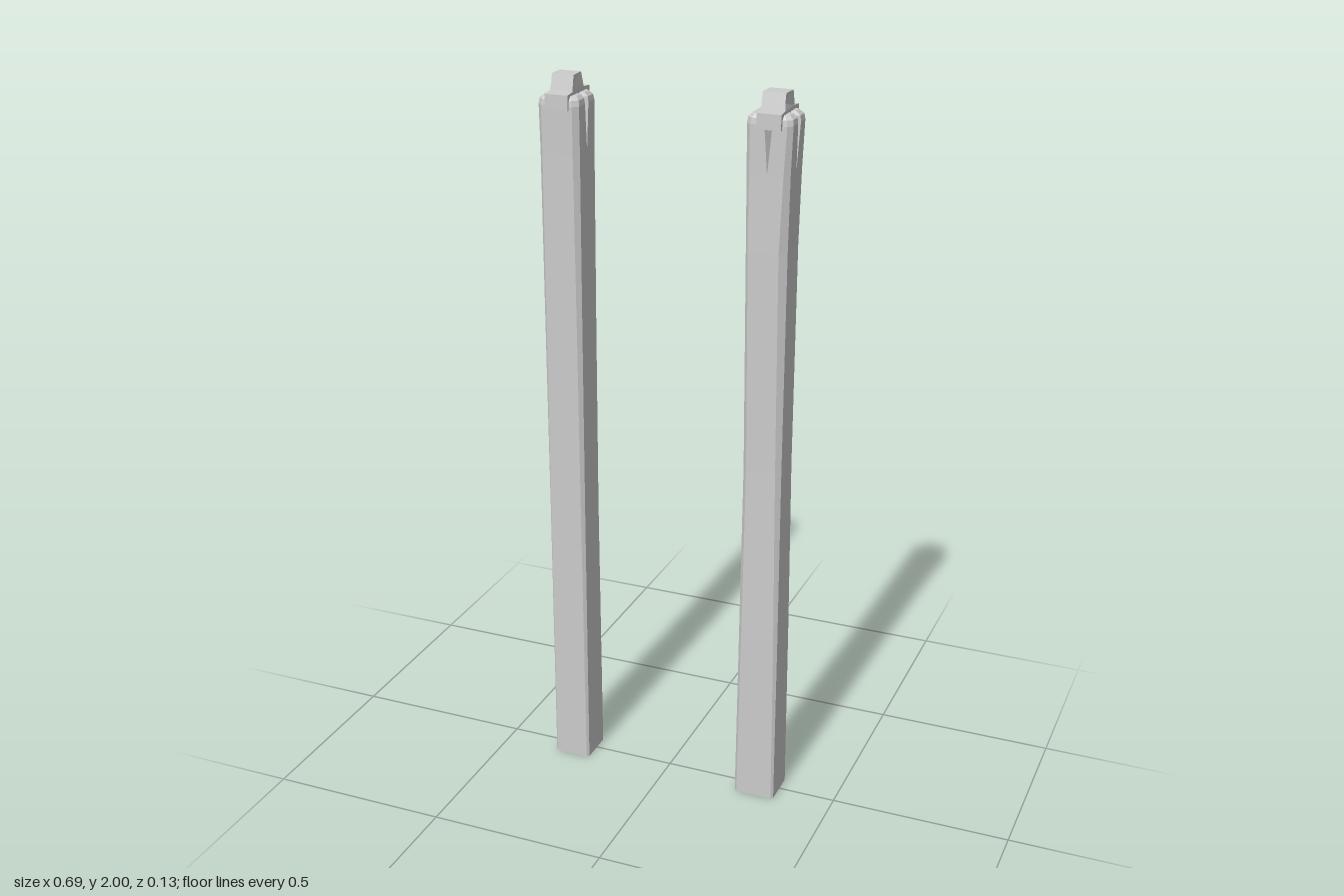
import * as THREE from 'three';

const material = new THREE.MeshStandardMaterial({ color: 0xcccccc, flatShading: true, side: THREE.DoubleSide });

// Rings of equal length, counterclockwise from above, skinned and closed at both ends
function loft(rings) {
  const pos = [];
  const tri = (a, b, c) => {
    const n = b.clone().sub(a).cross(c.clone().sub(a));
    if (n.length() > 1e-9) for (const p of [a, b, c]) pos.push(p.x, p.y, p.z);
  };
  const centre = (ring) => ring.reduce((s, p) => s.add(p), new THREE.Vector3()).divideScalar(ring.length);
  const n = rings[0].length, last = rings[rings.length - 1];
  const c0 = centre(rings[0]), c1 = centre(last);
  for (let i = 0; i < n; i++) {
    const j = (i + 1) % n;
    for (let k = 0; k + 1 < rings.length; k++) {
      const lo = rings[k], hi = rings[k + 1];
      tri(lo[i], lo[j], hi[j]);
      tri(lo[i], hi[j], hi[i]);
    }
    tri(c0, rings[0][j], rings[0][i]);
    tri(c1, last[i], last[j]);
  }
  const g = new THREE.BufferGeometry();
  g.setAttribute('position', new THREE.Float32BufferAttribute(pos, 3));
  g.computeVertexNormals();
  return g;
}

// Chamfered rectangle with an optional split in the middle of each face.
// Corner and face order: corners (+x+z), (+x-z), (-x-z), (-x+z); faces +x, -z, -x, +z
function section([y, x0, x1, z0, z1, c], splits, amount) {
  const corners = [[x1, z1], [x1, z0], [x0, z0], [x0, z1]];
  const ring = [];
  for (let f = 0; f < 4; f++) {
    const [ax, az] = corners[f], [bx, bz] = corners[(f + 1) % 4];
    const len = Math.hypot(bx - ax, bz - az);
    const dx = (bx - ax) / len, dz = (bz - az) / len;
    const put = (along, depth) =>
      ring.push(new THREE.Vector3(ax + dx * along + dz * depth, y, az + dz * along - dx * depth));
    const w = splits[f] ? 0.011 * amount : 0, d = splits[f] ? 0.028 * amount : 0;
    const mid = len * 0.5;
    put(c[f], 0);
    put(mid - w, 0);
    put(mid, d);
    put(mid + w, 0);
    put(len - c[(f + 1) % 4], 0);
  }
  return ring;
}

// Splits open from nothing at 1.8 up to the top
const opening = (y) => Math.max(0, Math.min(1, (y - 1.8) / 0.13));

function makePost(name, rows, splits) {
  const mesh = new THREE.Mesh(loft(rows.map((r) => section(r, splits, opening(r[0])))), material);
  mesh.name = name;
  return mesh;
}

// Saddle cap: raised block in the middle, a tab hanging over front and back
function makeCap(name, x, skew) {
  const outline = new THREE.Shape([
    [-0.065, 1.915], [0.068, 1.917], [0.068, 1.957], [0.034, 1.96], [0.031, 1.975], [0.024, 2],
    [-0.024, 2], [-0.03, 1.975], [-0.034, 1.958], [-0.065, 1.955],
  ].map(([u, v]) => new THREE.Vector2(u, v)));
  const g = new THREE.ExtrudeGeometry(outline, { depth: 0.064, bevelEnabled: false });
  g.translate(0, 0, -0.032);
  g.rotateY(Math.PI / 2);
  // Worn, slightly uneven ends
  const p = g.attributes.position;
  for (let i = 0; i < p.count; i++) {
    if (p.getY(i) > 1.97) p.setX(i, p.getX(i) * 0.95 + skew * p.getZ(i));
  }
  g.computeVertexNormals();
  const mesh = new THREE.Mesh(g, material);
  mesh.position.x = x;
  mesh.name = name;
  return mesh;
}

export function createModel() {
  const group = new THREE.Group();
  group.name = 'postPair';

  // Each row: y, x0, x1, z0, z1, corner chamfers
  group.add(makePost('rightPost', [
    [0, -0.339, -0.235, -0.057, 0.059, [0.006, 0.012, 0.005, 0.004]],
    [0.78, -0.338, -0.235, -0.056, 0.058, [0.009, 0.016, 0.008, 0.003]],
    [1.3, -0.341, -0.234, -0.056, 0.057, [0.011, 0.013, 0.01, 0.007]],
    [1.8, -0.342, -0.232, -0.058, 0.058, [0.014, 0.012, 0.012, 0.01]],
    [1.925, -0.344, -0.231, -0.061, 0.06, [0.014, 0.013, 0.015, 0.012]],
    [1.94, -0.342, -0.233, -0.059, 0.058, [0.015, 0.014, 0.015, 0.013]],
    [1.95, -0.333, -0.242, -0.048, 0.047, [0.01, 0.01, 0.01, 0.01]],
  ], [true, true, false, false]));

  group.add(makePost('leftPost', [
    [0, 0.221, 0.338, -0.057, 0.059, [0.006, 0.01, 0.006, 0.008]],
    [0.5, 0.225, 0.337, -0.056, 0.058, [0.009, 0.013, 0.008, 0.01]],
    [1, 0.229, 0.334, -0.055, 0.056, [0.013, 0.016, 0.009, 0.011]],
    [1.6, 0.226, 0.334, -0.056, 0.056, [0.018, 0.012, 0.011, 0.008]],
    [1.8, 0.224, 0.338, -0.057, 0.056, [0.014, 0.012, 0.012, 0.01]],
    [1.925, 0.222, 0.343, -0.058, 0.057, [0.012, 0.013, 0.014, 0.013]],
    [1.94, 0.224, 0.341, -0.056, 0.055, [0.013, 0.014, 0.015, 0.014]],
    [1.95, 0.234, 0.33, -0.046, 0.045, [0.01, 0.01, 0.01, 0.01]],
  ], [true, false, false, true]));

  group.add(makeCap('rightCap', -0.286, 0.03));
  group.add(makeCap('leftCap', 0.286, -0.04));
  return group;
}
